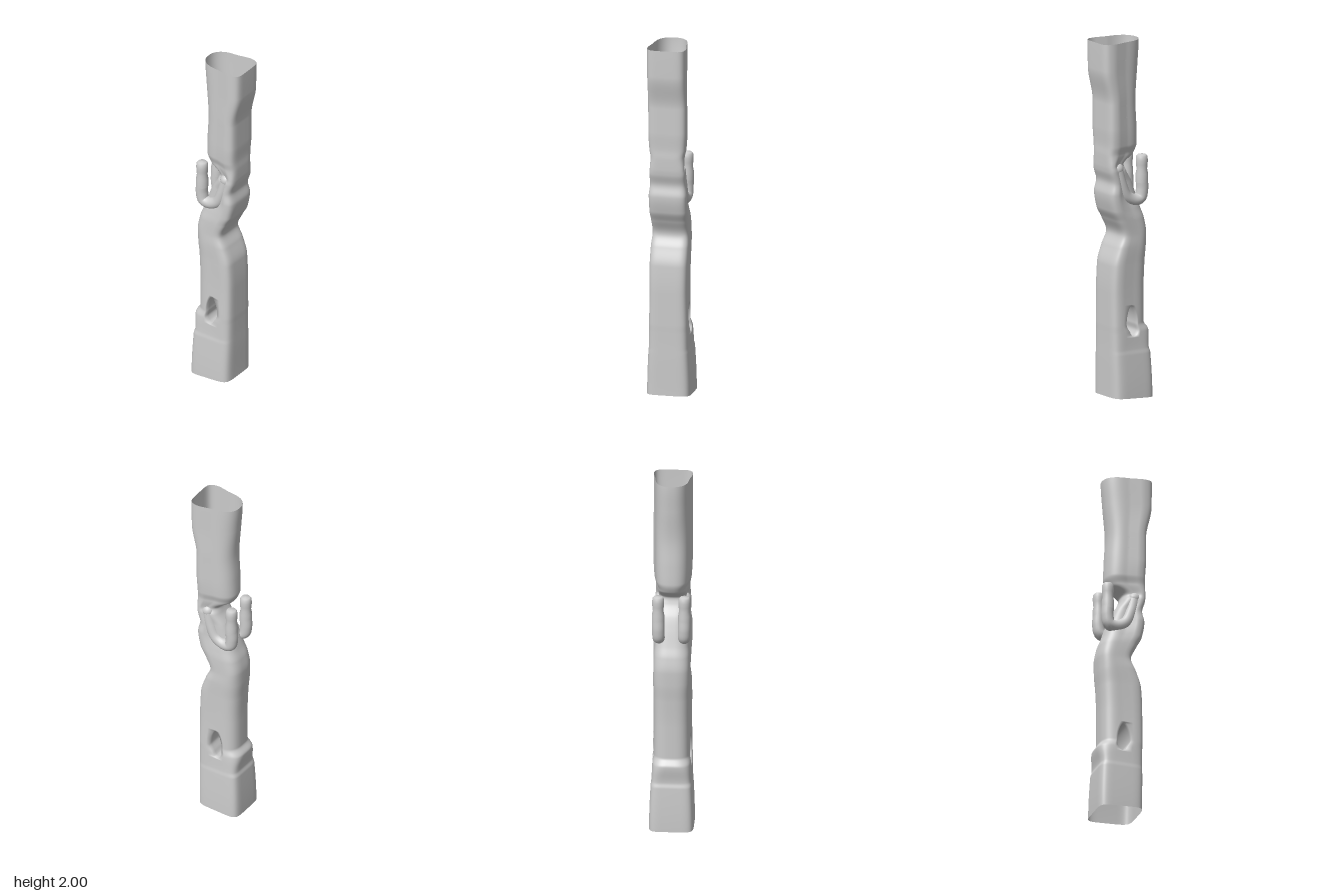
import * as THREE from 'three';
import { mergeVertices } from 'three/addons/utils/BufferGeometryUtils.js';

const { lerp, smoothstep } = THREE.MathUtils;
const stone = new THREE.MeshStandardMaterial({ color: 0xcccccc, side: THREE.DoubleSide });

// Cross-sections: height, front x, back x, front half width, back half width
const sections = [
  [0.00, -0.160, 0.095, 0.122, 0.122],
  [0.25, -0.150, 0.098, 0.114, 0.114],
  [0.28, -0.143, 0.098, 0.110, 0.111],
  [0.375, -0.154, 0.099, 0.106, 0.110],
  [0.42, -0.130, 0.100, 0.100, 0.109],
  [0.60, -0.130, 0.100, 0.099, 0.106],
  [0.75, -0.135, 0.093, 0.100, 0.107],
  [0.85, -0.142, 0.062, 0.102, 0.106],
  [0.92, -0.143, 0.034, 0.100, 0.101],
  [1.00, -0.130, 0.066, 0.099, 0.104],
  [1.06, -0.108, 0.096, 0.093, 0.107],
  [1.15, -0.078, 0.111, 0.081, 0.107],
  [1.215, -0.052, 0.099, 0.080, 0.100],
  [1.28, -0.012, 0.115, 0.088, 0.100],
  [1.31, -0.004, 0.118, 0.078, 0.097],
  [1.37, -0.078, 0.119, 0.078, 0.095],
  [1.42, -0.095, 0.117, 0.089, 0.103],
  [1.52, -0.092, 0.121, 0.092, 0.108],
  [1.66, -0.085, 0.121, 0.092, 0.108],
  [1.85, -0.100, 0.154, 0.092, 0.108],
  [2.00, -0.110, 0.156, 0.092, 0.108],
];
const HOLE_LOW = 0.35, HOLE_HIGH = 0.525;

// Smooth interpolation of the section table
function sectionAt(y) {
  let i = 0;
  while (i < sections.length - 2 && y > sections[i + 1][0]) i++;
  const a = sections[i], b = sections[i + 1], h = b[0] - a[0], t = (y - a[0]) / h;
  const slope = (j, k) => {
    const p = sections[Math.max(j - 1, 0)], q = sections[Math.min(j + 1, sections.length - 1)];
    // flat at local extremes, otherwise limited by the gentler neighbour
    const d0 = (sections[j][k] - p[k]) / (sections[j][0] - p[0] || 1);
    const d1 = (q[k] - sections[j][k]) / (q[0] - sections[j][0] || 1);
    return d0 * d1 <= 0 ? 0 : 2 * d0 * d1 / (d0 + d1);
  };
  return a.map((v, k) => {
    const d = b[k] - v, m0 = slope(i, k) * h, m1 = slope(i + 1, k) * h;
    return v + t * m0 + t * t * (3 * d - 2 * m0 - m1) + t * t * t * (m0 + m1 - 2 * d);
  });
}

// Half opening of the gap behind the legs, zero outside it
function gapAt(y) {
  const t = (y - HOLE_LOW) / (HOLE_HIGH - HOLE_LOW);
  return t <= 0 || t >= 1 ? 0 : Math.pow(Math.sin(Math.PI * Math.pow(t, 0.85)), 0.6);
}

// Half of a section, front (side -1) or back (side +1), ending at the gap
function halfSection(y, side, steps) {
  const [, xf, xb, wf, wb] = sectionAt(y);
  const c = (xf + xb) / 2, a = (xb - xf) / 2;
  // square base, softer body, round head; the back stays square
  const n = side > 0 ? 5.5 : 6 - 3 * smoothstep(y, 0.25, 0.42) - 0.6 * smoothstep(y, 1.26, 1.34);
  const limit = Math.acos(Math.pow(gapAt(y) * (side < 0 ? 0.039 : 0.036) / a, n / 2));
  return Array.from({ length: steps + 1 }, (_, j) => {
    const phi = (2 * j / steps - 1) * limit;
    const X = side * Math.pow(Math.abs(Math.cos(phi)), 2 / n);
    const Z = -side * Math.sign(phi) * Math.pow(Math.abs(Math.sin(phi)), 2 / n);
    const x = c + a * X;
    const tilt = Math.max(0, 1 - y / 0.3) * (0.01 + 0.06 * x);
    return [x, y + tilt, Z * lerp(wf, wb, smoothstep(X, -0.15, 0.6))];
  });
}

// Hollow shaft, with a tunnel running from side to side
function shaftGeometry() {
  const position = [], index = [], steps = 36;
  const addGrid = (rows) => {
    const start = position.length / 3, n = rows[0].length;
    rows.forEach(r => r.forEach(p => position.push(...p)));
    for (let i = 0; i < rows.length - 1; i++) for (let j = 0; j < n - 1; j++) {
      const p = start + i * n + j, q = p + n;
      index.push(p, q, p + 1, p + 1, q, q + 1);
    }
  };
  const heights = Array.from({ length: 401 }, (_, i) => i * 0.005);
  for (const side of [-1, 1]) {
    const rows = heights.map(y => halfSection(y, side, steps));
    addGrid(rows);
    // tunnel wall joining the two ends of each cut section
    const walls = rows.filter((_, i) => heights[i] > HOLE_LOW - 0.001 && heights[i] < HOLE_HIGH + 0.001)
      .map(r => {
        const s = r[steps], e = r[0];
        return Array.from({ length: 9 }, (_, k) => s.map((v, m) => lerp(v, e[m], k / 8)));
      });
    addGrid(walls);
  }
  const g = new THREE.BufferGeometry();
  g.setAttribute('position', new THREE.Float32BufferAttribute(position, 3));
  g.setIndex(index);
  const merged = mergeVertices(g, 1e-5);
  merged.computeVertexNormals();
  return merged;
}

function add(parent, name, geometry) {
  const mesh = new THREE.Mesh(geometry, stone);
  mesh.name = name;
  parent.add(mesh);
  return mesh;
}

// Bent arm with raised forearm and fist
function createArm(side) {
  const arm = new THREE.Group();
  arm.name = side > 0 ? 'frontSideArm' : 'backSideArm';
  const path = new THREE.CatmullRomCurve3([
    [0.055, 1.29, 0.062], [0.035, 1.21, 0.066], [0, 1.135, 0.067],
    [-0.05, 1.108, 0.068], [-0.092, 1.115, 0.07], [-0.104, 1.16, 0.071], [-0.102, 1.22, 0.072],
  ].map(([x, y, z]) => new THREE.Vector3(x, y, z * side)));
  add(arm, 'sleeve', new THREE.TubeGeometry(path, 40, 0.034, 20));
  add(arm, 'shoulder', new THREE.SphereGeometry(0.036, 20, 14)).position.set(0.055, 1.29, 0.062 * side);
  const profile = [
    [0.034, 1.20], [0.034, 1.25], [0.029, 1.275], [0.032, 1.30],
    [0.033, 1.325], [0.031, 1.345], [0.024, 1.355], [0, 1.358],
  ].map(([r, y]) => new THREE.Vector2(r, y));
  add(arm, 'fist', new THREE.LatheGeometry(profile, 24)).position.set(-0.102, 0, 0.072 * side);
  return arm;
}

export function createModel() {
  const model = new THREE.Group();
  model.name = 'carvedPost';
  add(model, 'shaft', shaftGeometry());
  for (const side of [1, -1]) model.add(createArm(side));
  return model;
}
